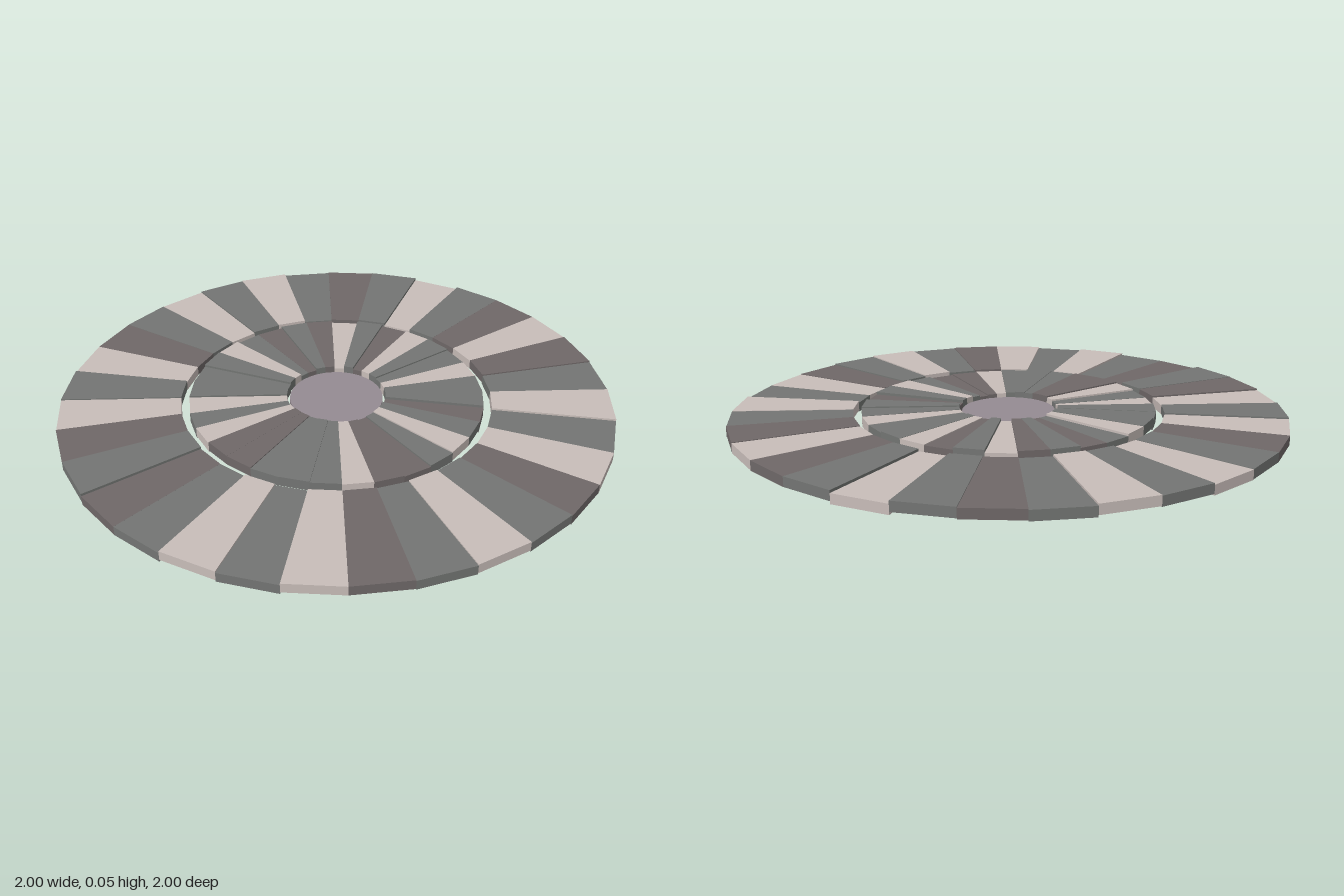
import * as THREE from 'three';

const SEGMENTS = 32;
const STEP = (Math.PI * 2) / SEGMENTS;
const COLORS = { L: 0xc8bdb9, G: 0x737573, M: 0x6f6868 };

// Stone tones, clockwise from the back: Light, Grey, Mauve
const OUTER = 'LGMLMGLGLMGLGMLGLGMGMLGLMGLGLGMG';
const INNER = 'MLGGLGGMGLGMMLGGGMMLGLGGGLGMGMLG';

function seededRandom(seed) {
  return () => {
    seed = (seed * 16807) % 2147483647;
    return seed / 2147483647;
  };
}

// One straight-edged paving wedge between two radii, lying flat
function wedgeGeometry(inner, outer, index, height) {
  const a = index * STEP;
  const b = a + STEP;
  const at = (r, t) => new THREE.Vector2(r * Math.sin(t), r * Math.cos(t));
  const shape = new THREE.Shape([at(inner, a), at(outer, a), at(outer, b), at(inner, b)]);
  const geometry = new THREE.ExtrudeGeometry(shape, { depth: height, bevelEnabled: false });
  return geometry.rotateX(-Math.PI / 2);
}

export function createModel() {
  const model = new THREE.Group();
  model.name = 'circularPaving';
  const random = seededRandom(4711);

  const materials = {};
  for (const key in COLORS) {
    materials[key] = new THREE.MeshStandardMaterial({ color: COLORS[key], flatShading: true });
  }

  // Ring of wedges, each laid at a slightly uneven level
  function addRing(name, inner, outer, tones, base, unevenness, height) {
    const ring = new THREE.Group();
    ring.name = name;
    for (let i = 0; i < SEGMENTS; i++) {
      const stone = new THREE.Mesh(wedgeGeometry(inner, outer, i, height), materials[tones[i]]);
      stone.name = name + 'Stone';
      stone.position.y = base + random() * unevenness;
      ring.add(stone);
    }
    model.add(ring);
  }

  addRing('outerRing', 0.565, 1, OUTER, 0, 0.014, 0.034);
  addRing('innerRing', 0.18, 0.535, INNER, 0.004, 0.014, 0.036);

  // Round centre stone, set a little lower than the rings
  const centre = new THREE.Mesh(
    new THREE.CylinderGeometry(0.17, 0.17, 0.025, SEGMENTS),
    new THREE.MeshStandardMaterial({ color: 0x958b92, flatShading: true })
  );
  centre.name = 'centreStone';
  centre.position.y = 0.0205;
  model.add(centre);

  return model;
}
